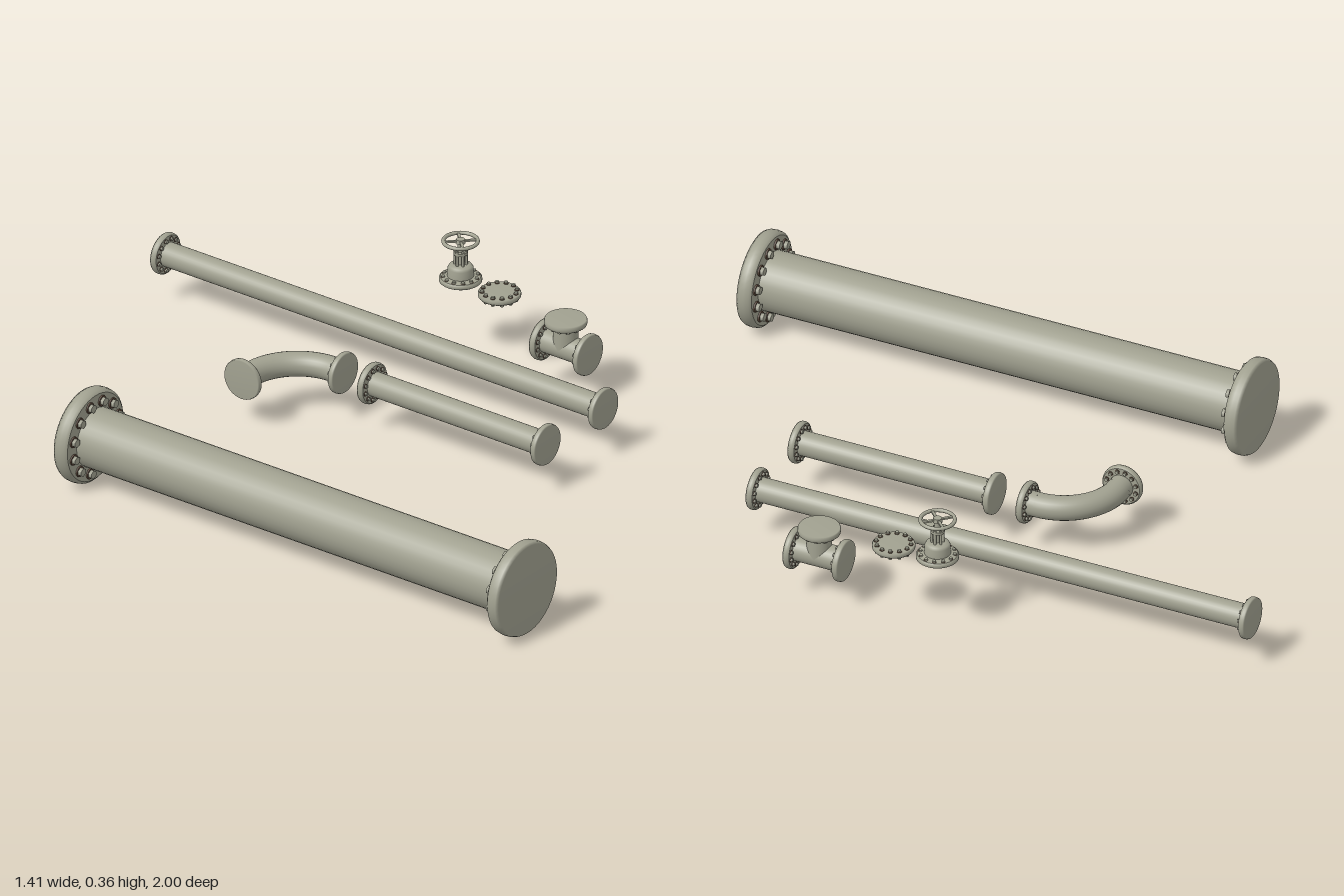
import * as THREE from 'three';

const metal = new THREE.MeshStandardMaterial({ color: 0xa1a190 });
metal.name = 'grey metal';
const rust = new THREE.MeshStandardMaterial({ color: 0x5e4a3c });
rust.name = 'rusty brown';

const UP = new THREE.Vector3(0, 1, 0);
const AXIS_Y = 0.143;

function add(parent, name, geometry, material = metal) {
  const mesh = new THREE.Mesh(geometry, material);
  mesh.name = name;
  parent.add(mesh);
  return mesh;
}

function lathe(points, segments = 40) {
  return new THREE.LatheGeometry(points.map(([r, y]) => new THREE.Vector2(r, y)), segments);
}

function group(parent, name, x = 0, y = 0, z = 0) {
  const g = new THREE.Group();
  g.name = name;
  g.position.set(x, y, z);
  parent.add(g);
  return g;
}

// Open tube between two points
function tube(parent, name, from, to, radius) {
  const a = new THREE.Vector3(...from), b = new THREE.Vector3(...to);
  const dir = b.clone().sub(a);
  const mesh = add(parent, name, new THREE.CylinderGeometry(radius, radius, dir.length(), 32, 1, true));
  mesh.position.copy(a).add(b).multiplyScalar(0.5);
  mesh.quaternion.setFromUnitVectors(UP, dir.normalize());
}

// Ring of hex bolts with washers; side is +1 for heads up, -1 for heads down
function boltRing(parent, radius, y, side, count = 12) {
  for (let i = 0; i < count; i++) {
    const a = (i + 0.5) / count * Math.PI * 2;
    const x = Math.cos(a) * radius, z = Math.sin(a) * radius;
    add(parent, 'washer', new THREE.CylinderGeometry(0.007, 0.007, 0.002, 12), rust)
      .position.set(x, y + side * 0.001, z);
    add(parent, 'bolt', new THREE.CylinderGeometry(0.0055, 0.0055, 0.005, 6))
      .position.set(x, y + side * 0.004, z);
  }
}

// Closed flange whose outer face sits at the position and looks along dir
function flange(parent, position, dir, scale = 1) {
  const g = group(parent, 'flange', ...position);
  g.quaternion.setFromUnitVectors(UP, new THREE.Vector3(...dir));
  g.scale.setScalar(scale);
  add(g, 'flangeDisc', lathe([
    [0.03, -0.019], [0.056, -0.019], [0.056, -0.019], [0.0595, -0.016],
    [0.0605, -0.01], [0.06, -0.004], [0.058, 0], [0, 0],
  ], 48));
  boltRing(g, 0.046, -0.019, -1);
}

// Straight pipe along z with a flange at both ends
function straightPipe(parent, name, x, z0, z1, radius, scale) {
  const g = group(parent, name, x, AXIS_Y, 0);
  tube(g, 'pipe', [0, 0, z0 + 0.01], [0, 0, z1 - 0.01], radius);
  flange(g, [0, 0, z0], [0, 0, -1], scale);
  flange(g, [0, 0, z1], [0, 0, 1], scale);
  return g;
}

function elbow(parent) {
  const g = group(parent, 'elbowPipe', -0.02, AXIS_Y, -0.21);
  const bend = 0.165;
  const arc = add(g, 'bend', new THREE.TorusGeometry(bend, 0.0355, 24, 24, Math.PI / 2));
  arc.rotation.x = -Math.PI / 2;
  tube(g, 'inlet', [-0.03, 0, -bend], [0, 0, -bend], 0.0355);
  tube(g, 'outlet', [bend, 0, 0], [bend, 0, 0.03], 0.0355);
  flange(g, [-0.04, 0, -bend], [-1, 0, 0]);
  flange(g, [bend, 0, 0.042], [0, 0, 1]);
}

function valve(parent) {
  const g = group(parent, 'valve', 0.637, 0, -0.14);
  // Base plate and bonnet
  add(g, 'bonnet', lathe([
    [0, 0.233], [0.056, 0.233], [0.06, 0.236], [0.06, 0.244], [0.056, 0.248], [0.056, 0.248],
    [0.037, 0.251], [0.037, 0.251], [0.036, 0.276], [0.032, 0.283], [0.022, 0.286], [0, 0.287],
  ]));
  boltRing(g, 0.048, 0.247, 1);
  // Yoke columns and collar around the stem
  for (let i = 0; i < 6; i++) {
    const a = i / 6 * Math.PI * 2;
    add(g, 'yokeColumn', new THREE.CylinderGeometry(0.004, 0.004, 0.046, 10))
      .position.set(Math.cos(a) * 0.016, 0.307, Math.sin(a) * 0.016);
  }
  add(g, 'collar', new THREE.CylinderGeometry(0.02, 0.02, 0.008, 24)).position.y = 0.322;
  add(g, 'stem', new THREE.CylinderGeometry(0.008, 0.008, 0.08, 16)).position.y = 0.322;
  // Handwheel
  const wheel = group(g, 'handwheel', 0, 0.358, 0);
  const rim = add(wheel, 'rim', new THREE.TorusGeometry(0.048, 0.0055, 12, 40));
  rim.rotation.x = Math.PI / 2;
  add(wheel, 'hub', new THREE.CylinderGeometry(0.012, 0.014, 0.012, 20));
  for (let i = 0; i < 2; i++) {
    const spokes = add(wheel, 'spokes', new THREE.BoxGeometry(0.092, 0.005, 0.008));
    spokes.rotation.y = Math.PI / 4 + i * Math.PI / 2;
  }
}

export function createModel() {
  const model = new THREE.Group();
  model.name = 'pipeSet';

  straightPipe(model, 'largePipe', -0.568, -0.54, 1, 0.0875, 2.31);
  straightPipe(model, 'shortPipe', 0.145, -0.085, 0.533, 0.0355, 1);
  straightPipe(model, 'longPipe', 0.41, -1, 0.533, 0.0355, 1);
  elbow(model);

  // Tee joint with an upward branch
  const tee = straightPipe(model, 'teeJoint', 0.637, 0.14, 0.309, 0.0355, 1);
  tube(tee, 'branch', [0, 0, 0.224], [0, 0.08, 0.224], 0.0355);
  flange(tee, [0, 0.09, 0.224], [0, 1, 0]);

  // Loose blank cover bolted through both faces
  const cover = group(model, 'blankCover', 0.637, 0.236, -0.005);
  add(cover, 'coverDisc', lathe([
    [0, -0.008], [0.057, -0.008], [0.06, -0.004], [0.06, 0.004], [0.057, 0.008], [0, 0.008],
  ], 48));
  boltRing(cover, 0.049, 0.008, 1);
  boltRing(cover, 0.049, -0.008, -1);

  valve(model);
  return model;
}
